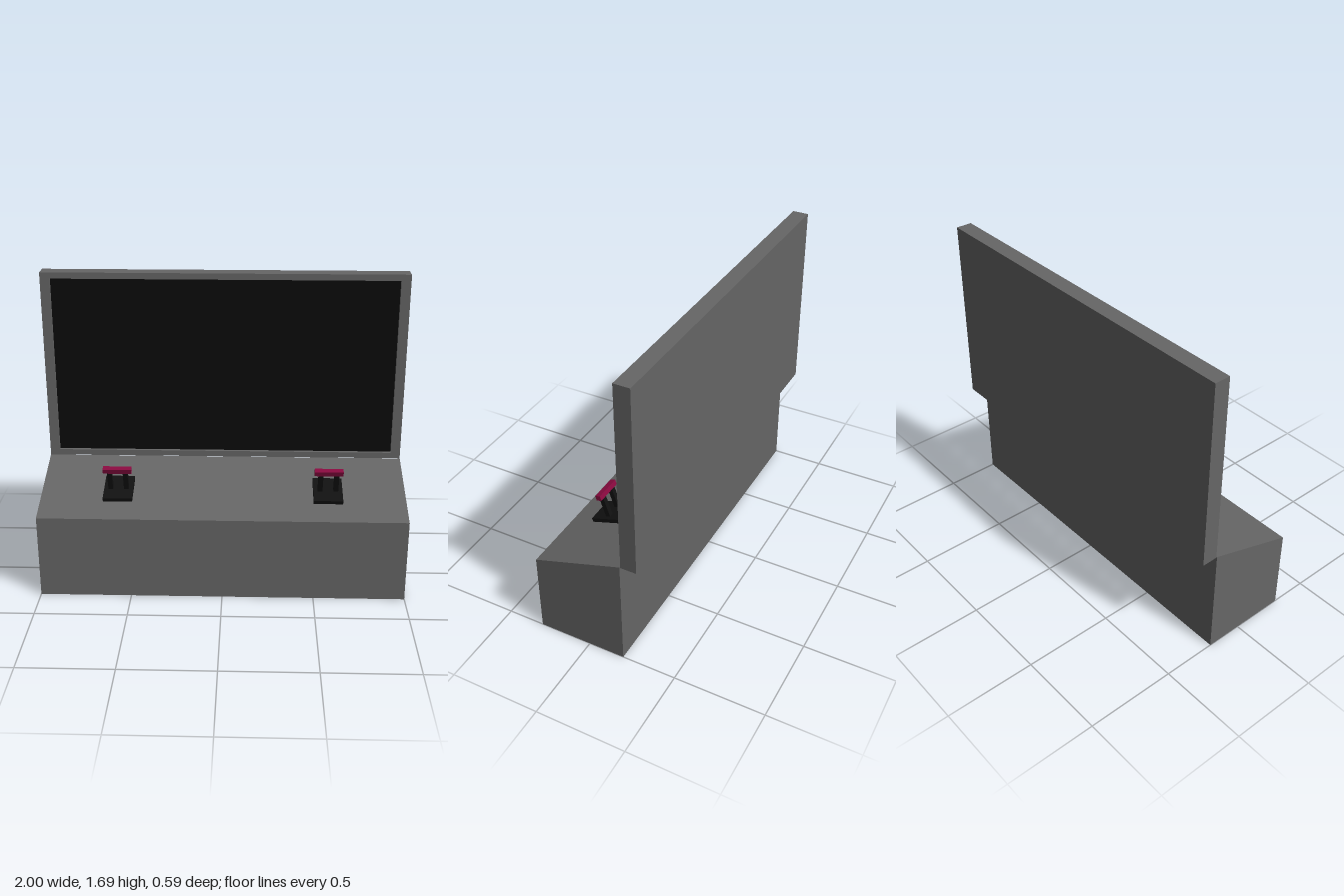
import * as THREE from 'three';

const mat = (color) => new THREE.MeshStandardMaterial({ color });
const grey = mat(0x666666), black = mat(0x111111), red = mat(0x8a0a40);

function add(parent, name, geometry, material, x = 0, y = 0, z = 0) {
  const mesh = new THREE.Mesh(geometry, material);
  mesh.name = name;
  mesh.position.set(x, y, z);
  parent.add(mesh);
  return mesh;
}

const box = (w, h, d) => new THREE.BoxGeometry(w, h, d);

function rectangle(Path, x0, y0, x1, y1) {
  const p = new Path();
  p.moveTo(x0, y0).lineTo(x1, y0).lineTo(x1, y1).lineTo(x0, y1).closePath();
  return p;
}

export function createModel() {
  const model = new THREE.Group();
  model.name = 'controlConsole';

  // Desk with a sloping top: side profile extruded across the width
  const front = 0.295, back = -0.202, lowY = 0.465, highY = 0.628;
  const profile = new THREE.Shape([
    [-front, 0], [-back, 0], [-back, highY], [-front, lowY],
  ].map(([x, y]) => new THREE.Vector2(x, y)));
  const desk = new THREE.ExtrudeGeometry(profile, { depth: 2, bevelEnabled: false });
  desk.translate(0, 0, -1).rotateY(Math.PI / 2);
  add(model, 'desk', desk, grey);

  // Display: backing slab, raised frame and recessed screen
  const bottom = 0.627, top = 1.69, rim = 0.02, faceZ = -0.207, rearZ = -0.295;
  const slabDepth = faceZ - rim - rearZ;
  add(model, 'displayBack', box(2, top - bottom, slabDepth), grey,
    0, (top + bottom) / 2, rearZ + slabDepth / 2);
  const outline = rectangle(THREE.Shape, -1, bottom, 1, top);
  outline.holes.push(rectangle(THREE.Path, -0.947, 0.66, 0.947, 1.656));
  add(model, 'displayFrame',
    new THREE.ExtrudeGeometry(outline, { depth: rim, bevelEnabled: false }),
    grey, 0, 0, faceZ - rim);
  add(model, 'screen', box(1.894, 0.996, 0.004), mat(0x0a0a0a), 0, 1.158, faceZ - rim);

  // Two throttle levers standing square to the sloping top
  const slope = (highY - lowY) / (front - back);
  const leverZ = 0.075;
  for (const side of [-1, 1]) {
    const lever = new THREE.Group();
    lever.name = side > 0 ? 'leftLever' : 'rightLever';
    lever.position.set(side * 0.575, lowY + (front - leverZ) * slope, leverZ);
    lever.rotation.x = Math.atan(slope);
    add(lever, 'leverBase', box(0.16, 0.022, 0.185), black, 0, 0.011, 0);
    for (const x of [-0.043, 0.043])
      add(lever, 'leverArm', box(0.026, 0.122, 0.026), black, x, 0.078, 0.003);
    add(lever, 'leverGrip', box(0.155, 0.028, 0.03), red, 0, 0.15, 0.003);
    model.add(lever);
  }
  return model;
}
